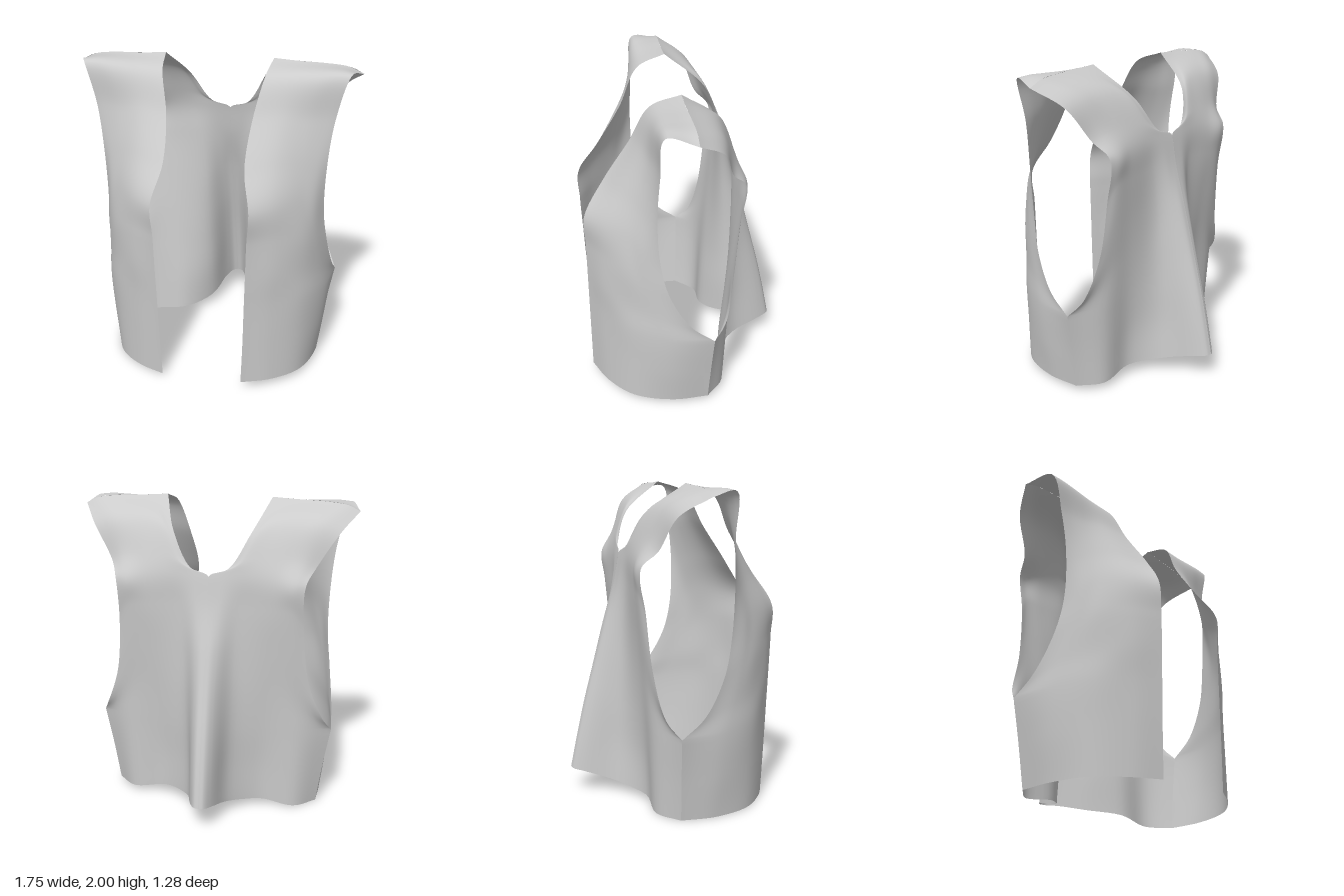
import * as THREE from 'three';

const curve = (pts) => new THREE.CatmullRomCurve3(pts, false, 'centripetal');
// Lengthwise guide from hem (v = 0) to shoulder (v = last index)
const guide = (...p) => {
  const c = curve(p.map((q) => new THREE.Vector3(...q)));
  return (v) => c.getPoint(Math.min(1, v / (p.length - 1)));
};
const ROWS = 9;

// Side seam, shared by front and back; the armhole edges start at its top
const seam = guide([.68, .035, -.08], [.72, .3, -.09], [.765, .55, -.1]);
const outer = (arm) => (v) => (v <= 2 ? seam(v) : arm(v - 2));

// Front panel guides, from the opening edge to the armhole
const frontEdge = guide([.26, .055, .63], [.27, .35, .63], [.275, .6, .63], [.28, .8, .63], [.285, 1.03, .63],
  [.295, 1.23, .63], [.245, 1.45, .5], [.26, 1.7, .34], [.31, 1.93, .22], [.335, 2, .04]);
const frontInner = guide([.44, .045, .54], [.44, .35, .54], [.44, .6, .54], [.45, .8, .54], [.45, 1.03, .53],
  [.44, 1.24, .52], [.42, 1.47, .42], [.43, 1.72, .3], [.47, 1.94, .21], [.5, 1.99, .04]);
const frontMiddle = guide([.6, .04, .39], [.61, .33, .39], [.61, .58, .4], [.6, .75, .4], [.59, 1, .41],
  [.57, 1.23, .39], [.56, 1.45, .33], [.57, 1.7, .26], [.62, 1.95, .21], [.64, 1.985, .035]);
const frontOuter = guide([.68, .035, .15], [.71, .3, .17], [.72, .55, .19], [.69, .72, .25], [.66, .93, .31],
  [.645, 1.15, .32], [.645, 1.4, .28], [.66, 1.7, .235], [.72, 1.96, .205], [.78, 1.97, .03]);
const frontArmhole = outer(guide([.765, .55, -.1], [.75, .67, .05], [.72, .88, .17], [.695, 1.1, .22],
  [.7, 1.4, .235], [.735, 1.7, .22], [.81, 1.96, .2], [.875, 1.93, .03]));

// Back panel guides, from the pleat ridge and neckline to the armhole
const ridge = guide([0, .16, -.64], [0, .38, -.595], [0, .6, -.545], [0, .85, -.48], [0, 1.12, -.41],
  [0, 1.37, -.34], [0, 1.56, -.305], [.12, 1.61, -.285], [.24, 1.81, -.2], [.335, 2, .04]);
const flank = guide([.07, .15, -.56], [.07, .37, -.53], [.07, .6, -.49], [.07, .85, -.44], [.08, 1.12, -.38],
  [.09, 1.38, -.33], [.12, 1.565, -.3], [.21, 1.66, -.275], [.31, 1.85, -.18], [.46, 1.992, .04]);
const valley = guide([.14, .1, -.36], [.14, .34, -.34], [.15, .58, -.33], [.16, .83, -.32], [.17, 1.1, -.31],
  [.2, 1.38, -.3], [.25, 1.56, -.295], [.32, 1.68, -.26], [.4, 1.87, -.16], [.58, 1.987, .037]);
const backMiddle = guide([.32, .075, -.21], [.32, .32, -.22], [.33, .57, -.24], [.34, .82, -.26], [.36, 1.08, -.28],
  [.39, 1.36, -.3], [.41, 1.54, -.3], [.46, 1.68, -.245], [.53, 1.87, -.15], [.7, 1.98, .033]);
const backOuter = guide([.54, .04, -.2], [.55, .3, -.21], [.56, .57, -.22], [.52, .79, -.24], [.51, 1.05, -.27],
  [.51, 1.35, -.3], [.52, 1.52, -.315], [.57, 1.66, -.23], [.65, 1.86, -.145], [.8, 1.965, .03]);
const backArmhole = outer(guide([.765, .55, -.1], [.71, .65, -.18], [.62, .9, -.235], [.585, 1.25, -.27],
  [.59, 1.52, -.3], [.64, 1.62, -.21], [.77, 1.82, -.13], [.875, 1.93, .03]));
// Extra guide that rounds the pleat ridge and fades out at the neck
const ridgeRound = (v) => {
  const a = ridge(v), b = flank(v);
  const k = .15 + .3 * THREE.MathUtils.clamp((v - 4) / 2, 0, 1);
  return new THREE.Vector3(a.x + (b.x - a.x) * .45, a.y + (b.y - a.y) * k, a.z + (b.z - a.z) * k);
};

// Skin the guides with smooth cross-sections
function panel(guides, side, flip, nu = 30, nv = 72) {
  const pos = [], index = [];
  for (let j = 0; j <= nv; j++) {
    const v = (j / nv) * ROWS;
    const section = curve(guides.map((g) => g(v)));
    for (let i = 0; i <= nu; i++) {
      const p = section.getPoint(i / nu);
      p.x = Math.max(0, p.x);
      // The right half hangs slightly lower and closer to the body
      if (side < 0) {
        const low = Math.max(0, 1 - p.y);
        p.y -= .037 * low * Math.min(1, p.x / .25);
        if (p.z > 0) p.z *= 1 - .06 * low;
      }
      pos.push(side * p.x, p.y, p.z);
    }
  }
  for (let j = 0; j < nv; j++) for (let i = 0; i < nu; i++) {
    const a = j * (nu + 1) + i, b = a + 1, c = a + nu + 1, d = c + 1;
    if (flip) index.push(a, c, b, b, c, d);
    else index.push(a, b, c, b, d, c);
  }
  const geo = new THREE.BufferGeometry();
  geo.setAttribute('position', new THREE.Float32BufferAttribute(pos, 3));
  geo.setIndex(index);
  geo.computeVertexNormals();
  return geo;
}

export function createModel() {
  const vest = new THREE.Group();
  vest.name = 'vest';
  const cloth = new THREE.MeshStandardMaterial({ color: 0xcccccc, side: THREE.DoubleSide });
  const front = [frontEdge, frontInner, frontMiddle, frontOuter, frontArmhole];
  const back = [ridge, ridgeRound, flank, valley, backMiddle, backOuter, backArmhole];
  for (const [side, label] of [[1, 'left'], [-1, 'right']]) {
    const f = new THREE.Mesh(panel(front, side, side < 0), cloth);
    f.name = label + 'FrontPanel';
    const b = new THREE.Mesh(panel(back, side, side > 0), cloth);
    b.name = label + 'BackPanel';
    vest.add(f, b);
  }
  return vest;
}
